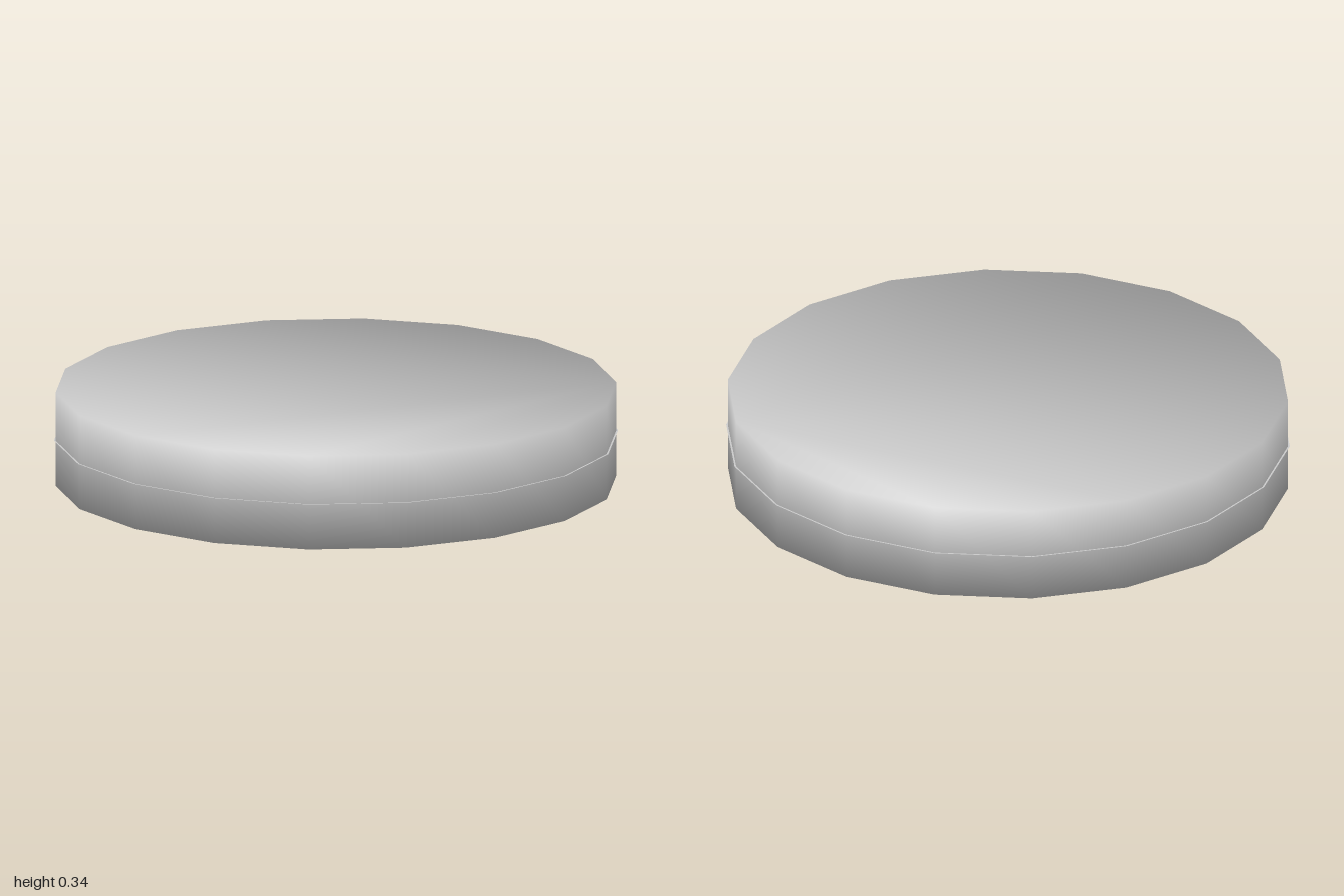
import * as THREE from 'three';

const SIDES = 18;

// Rows of the profile: radius, height, radial normal, vertical normal
const PROFILE = [
  [0.994, 0.34, 0.707, 0.707],
  [0.994, 0, 0.707, -0.707],
  [0.7, 0, -0.707, -0.707],
  [0.9, 0.165, -0.707, 0.707],
];

// Turned shell with softly shaded rims and a flat top that spans rim to rim
function shellGeometry() {
  const pos = [], nor = [], index = [];
  for (const [r, y, nr, ny] of PROFILE) {
    for (let k = 0; k < SIDES; k++) {
      const a = (k / SIDES) * Math.PI * 2;
      pos.push(r * Math.cos(a), y, r * Math.sin(a));
      nor.push(nr * Math.cos(a), ny, nr * Math.sin(a));
    }
  }
  // Top face
  for (let k = 1; k < SIDES - 1; k++) index.push(0, k + 1, k);
  // Outer wall, underside ring and undercut lip
  for (let i = 0; i < PROFILE.length - 1; i++) {
    for (let k = 0; k < SIDES; k++) {
      const a = i * SIDES + k, b = i * SIDES + ((k + 1) % SIDES);
      index.push(a, b, a + SIDES, b, b + SIDES, a + SIDES);
    }
  }
  const g = new THREE.BufferGeometry();
  g.setAttribute('position', new THREE.Float32BufferAttribute(pos, 3));
  g.setAttribute('normal', new THREE.Float32BufferAttribute(nor, 3));
  g.setIndex(index);
  return g;
}

export function createModel() {
  const model = new THREE.Group();
  model.name = 'roundPuck';
  const material = new THREE.MeshStandardMaterial({ color: 0xcccccc, side: THREE.DoubleSide });

  const shell = new THREE.Mesh(shellGeometry(), material);
  shell.name = 'shell';
  model.add(shell);

  // Thin disc at mid height: floor of the recess, its edge just past the wall
  const disc = new THREE.Mesh(new THREE.CircleGeometry(1, SIDES).rotateX(Math.PI / 2), material);
  disc.name = 'middleDisc';
  disc.position.y = 0.165;
  model.add(disc);

  return model;
}
